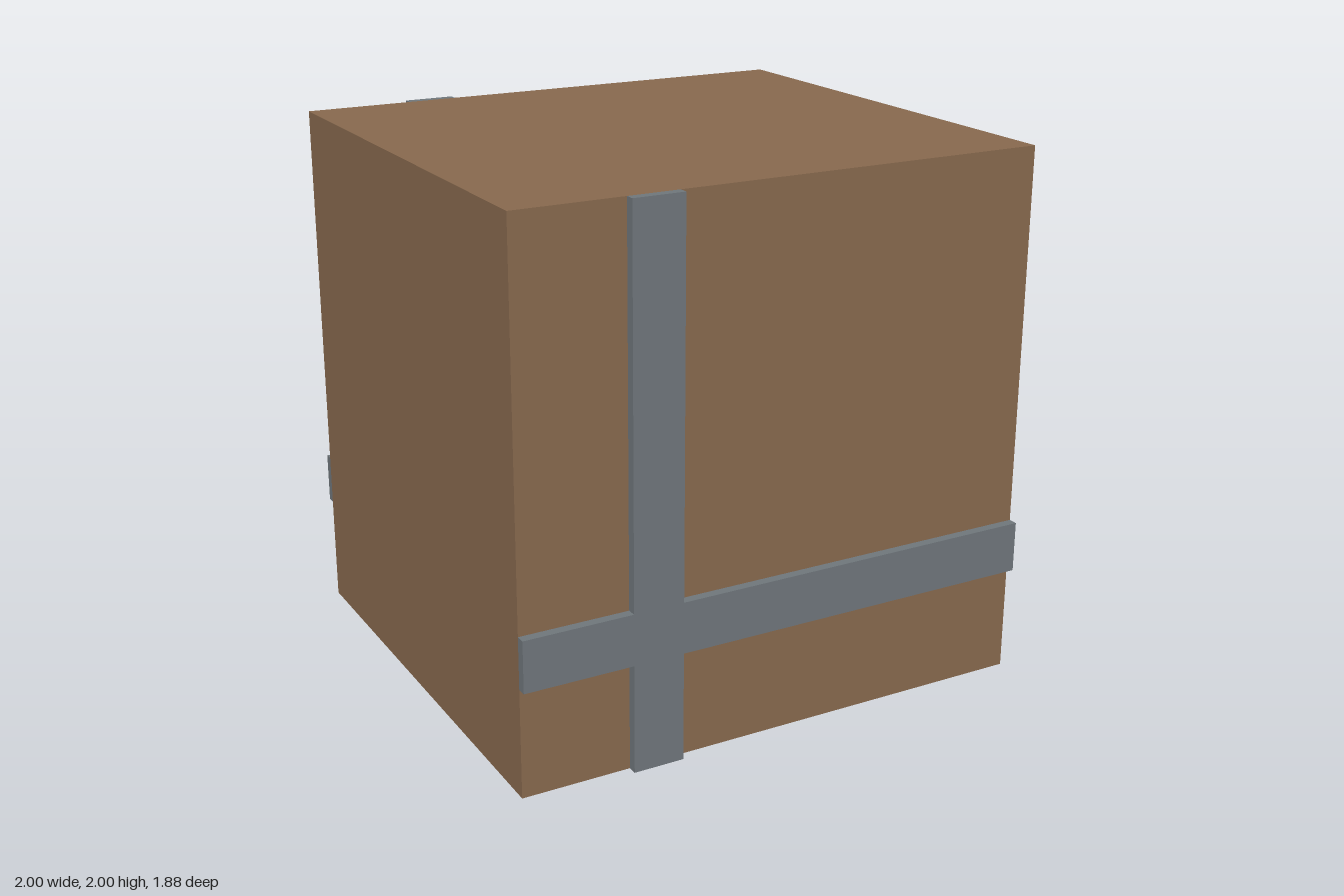
import * as THREE from 'three';

const BODY_Z = 0.905; // half depth of the wooden block
const BAND_Z = 0.94; // half depth over the metal bands

export function createModel() {
  const model = new THREE.Group();
  model.name = 'bandedCrate';
  const wood = new THREE.MeshStandardMaterial({ color: 0x86684d });
  const metal = new THREE.MeshStandardMaterial({ color: 0x6e757a });

  // Wooden block
  const body = new THREE.Mesh(new THREE.BoxGeometry(2, 2, BODY_Z * 2), wood);
  body.name = 'crateBody';
  body.position.y = 1;
  model.add(body);

  // Crossed bands: one vertical and one horizontal, joined in a single outline
  const [x0, x1, y0, y1] = [-0.595, -0.405, 0.405, 0.595];
  const outline = [
    [-1, y0], [x0, y0], [x0, 0], [x1, 0], [x1, y0], [1, y0],
    [1, y1], [x1, y1], [x1, 2], [x0, 2], [x0, y1], [-1, y1],
  ];
  const cross = new THREE.Shape(outline.map(([x, y]) => new THREE.Vector2(x, y)));
  const bandGeometry = new THREE.ExtrudeGeometry(cross, {
    depth: BAND_Z - BODY_Z,
    bevelEnabled: false,
  });

  // The same bands show on the front and the back face
  for (const [name, z] of [['frontBands', BODY_Z], ['backBands', -BAND_Z]]) {
    const bands = new THREE.Mesh(bandGeometry, metal);
    bands.name = name;
    bands.position.z = z;
    model.add(bands);
  }
  return model;
}
